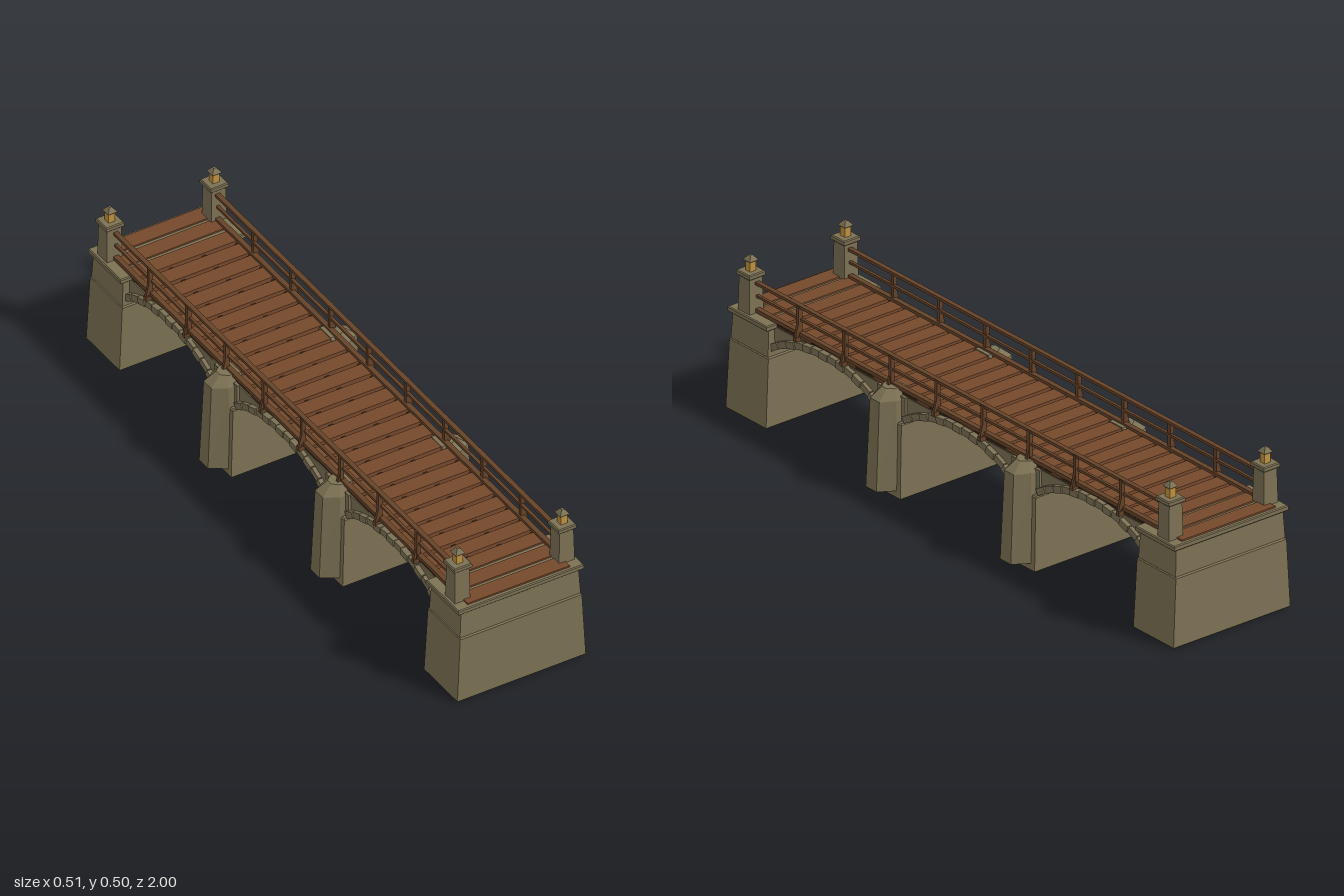
import * as THREE from 'three';

const mat = (name, color) => Object.assign(new THREE.MeshStandardMaterial({ color }), { name });

export function createModel() {
  const stone = mat('stone', 0x7c7154);
  const plankWood = mat('plank wood', 0x76492c);
  const railWood = mat('rail wood', 0x664329);
  const darkWood = mat('dark wood', 0x3c281a);
  const lampGold = mat('lamp gold', 0xc0923f);
  const bridge = new THREE.Group();
  bridge.name = 'bridge';

  const add = (name, geometry, material, x = 0, y = 0, z = 0, parent = bridge) => {
    const mesh = new THREE.Mesh(geometry, material);
    mesh.name = name;
    mesh.position.set(x, y, z);
    parent.add(mesh);
    return mesh;
  };
  const box = (name, w, h, d, material, x, y, z, parent) =>
    add(name, new THREE.BoxGeometry(w, h, d), material, x, y, z, parent);

  // Closed solid through stacked rings, each counter-clockwise seen from above
  function loft(rings) {
    const pos = [];
    const tri = (...pts) => pts.forEach(p => pos.push(...p));
    const n = rings[0].length;
    for (let r = 0; r + 1 < rings.length; r++) {
      const lo = rings[r], hi = rings[r + 1];
      for (let i = 0; i < n; i++) {
        const j = (i + 1) % n;
        tri(lo[i], lo[j], hi[j]);
        tri(lo[i], hi[j], hi[i]);
      }
    }
    const bottom = rings[0], top = rings[rings.length - 1];
    for (let i = 1; i + 1 < n; i++) {
      tri(top[0], top[i], top[i + 1]);
      tri(bottom[0], bottom[i + 1], bottom[i]);
    }
    const geometry = new THREE.BufferGeometry();
    geometry.setAttribute('position', new THREE.Float32BufferAttribute(pos, 3));
    geometry.computeVertexNormals();
    return geometry;
  }

  // Tapered block with chamfered top and bottom; w and d are half sizes
  function block(w0, d0, w1, d1, y0, y1, c = 0.004) {
    const ring = (w, d, y) => [[w, y, -d], [-w, y, -d], [-w, y, d], [w, y, d]];
    return loft([ring(w0 - c, d0 - c, y0), ring(w0, d0, y0 + c), ring(w1, d1, y1 - c), ring(w1 - c, d1 - c, y1)]);
  }

  // End abutments with corner pillars and lanterns
  for (const end of [1, -1]) {
    const z = end * 0.91;
    add('abutmentBase', block(0.214, 0.09, 0.203, 0.087, 0, 0.222), stone, 0, 0, z);
    add('abutmentUpper', block(0.201, 0.083, 0.196, 0.08, 0.22, 0.308, 0.002), stone, 0, 0, z);
    add('abutmentCoping', block(0.21, 0.088, 0.21, 0.088, 0.306, 0.323, 0.003), stone, 0, 0, z);
    for (const side of [1, -1]) {
      const pillar = new THREE.Group();
      pillar.name = 'cornerPillar';
      pillar.position.set(side * 0.174, 0, end * 0.937);
      bridge.add(pillar);
      add('pillarShaft', block(0.026, 0.026, 0.0235, 0.0235, 0.32, 0.436, 0.001), stone, 0, 0, 0, pillar);
      add('pillarCap', block(0.03, 0.03, 0.03, 0.03, 0.433, 0.449, 0.003), stone, 0, 0, 0, pillar);
      add('lantern', block(0.011, 0.011, 0.011, 0.011, 0.447, 0.483, 0.001), lampGold, 0, 0, 0, pillar);
      add('lanternRoof', block(0.016, 0.016, 0.006, 0.006, 0.48, 0.497, 0.002), stone, 0, 0, 0, pillar);
    }
  }

  // Cutwater outline, blunt at its outer edge
  const cutwaterRing = (tip, mid, nose, shoulder, y) => [
    [tip, y, -nose], [mid, y, -shoulder], [0.15, y, -shoulder - 0.004],
    [0.15, y, shoulder + 0.004], [mid, y, shoulder], [tip, y, nose]
  ];
  const cutwater = loft([
    cutwaterRing(0.256, 0.205, 0.024, 0.056, 0.024),
    cutwaterRing(0.243, 0.2, 0.021, 0.045, 0.302),
    cutwaterRing(0.208, 0.19, 0.01, 0.026, 0.331)
  ]);

  // River piers
  for (const z of [0.3, -0.3]) {
    add('pierBase', block(0.208, 0.072, 0.198, 0.065, 0, 0.235), stone, 0, 0, z);
    add('pierUpper', block(0.184, 0.063, 0.182, 0.062, 0.23, 0.312, 0.001), stone, 0, 0, z);
    for (const side of [1, -1]) {
      add('cutwater', cutwater, stone, 0, 0, z).rotation.y = side > 0 ? 0 : Math.PI;
    }
  }

  // Three arched spans with ring stones along both faces
  const half = 0.24;
  const archY = u => 0.236 + 0.064 * (1 - Math.pow(Math.abs(u / half), 2.4));
  const spanShape = new THREE.Shape();
  spanShape.moveTo(half, 0.311);
  spanShape.lineTo(-half, 0.311);
  for (let i = 0; i <= 24; i++) {
    const u = -half + (2 * half * i) / 24;
    spanShape.lineTo(u, archY(u));
  }
  const spanGeometry = new THREE.ExtrudeGeometry(spanShape, { depth: 0.35, bevelEnabled: false });
  spanGeometry.translate(0, 0, -0.175);
  spanGeometry.rotateY(Math.PI / 2);
  const stones = 13;
  for (const z of [-0.597, 0, 0.597]) {
    add('archSpan', spanGeometry, stone, 0, 0, z);
    for (let i = 0; i < stones; i++) {
      const a = -half + (2 * half * i) / stones, b = a + (2 * half) / stones;
      const rise = archY(b) - archY(a), run = b - a;
      const angle = Math.atan2(rise, run), length = Math.hypot(rise, run);
      for (const side of [1, -1]) {
        const depth = i % 2 ? 0.024 : 0.03;
        const ringStone = box('archStone', depth, 0.021, length * 0.96, stone, side * 0.175,
          (archY(a) + archY(b)) / 2 + 0.008, z + (a + b) / 2);
        ringStone.rotation.x = -angle;
      }
    }
  }

  // Timber deck: dark bed, stringers and cross planks
  box('deckBed', 0.32, 0.004, 1.96, darkWood, 0, 0.312, 0);
  for (const x of [-0.165, -0.055, 0.055, 0.165]) {
    box('stringer', 0.014, 0.01, 1.96, darkWood, x, 0.314, 0);
  }
  const count = 30, pitch = 1.985 / count;
  for (let i = 0; i < count; i++) {
    const plank = box('deckPlank', 0.342 + 0.004 * Math.sin(i * 2.3), 0.013, pitch * 0.8, plankWood,
      0.002 * Math.sin(i * 4.1), 0.3215, (i - (count - 1) / 2) * pitch);
    plank.rotation.y = 0.008 * Math.sin(i * 1.7);
  }

  // Railings along both edges
  for (const side of [1, -1]) {
    const x = side * 0.17;
    box('kerbBeam', 0.016, 0.012, 1.84, railWood, x, 0.331, 0);
    box('topRail', 0.015, 0.009, 1.84, railWood, x, 0.416, 0);
    box('middleRail', 0.009, 0.008, 1.84, railWood, x, 0.375, 0);
    for (let i = 0; i < 8; i++) {
      const z = (i - 3.5) * 0.206;
      box('railPost', 0.013, 0.112, 0.012, railWood, side * 0.174, 0.362, z);
      box('postBracket', 0.026, 0.014, 0.014, railWood, side * 0.178, 0.316, z);
      box('postBrace', 0.008, 0.05, 0.009, railWood, side * 0.182, 0.34, z).rotation.z = side * 0.25;
    }
  }
  return bridge;
}
